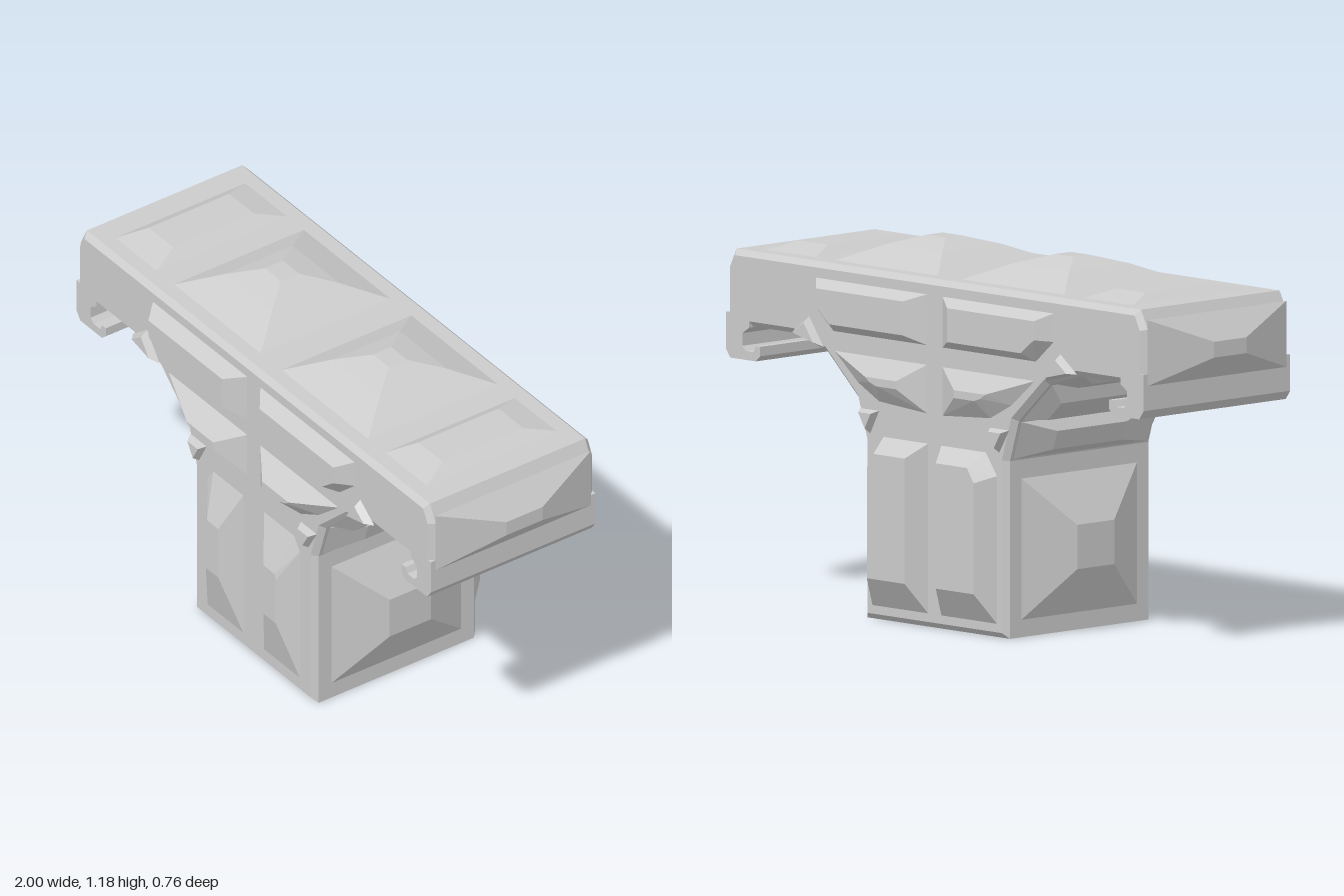
import * as THREE from 'three';

const material = new THREE.MeshStandardMaterial({ color: 0xcccccc, flatShading: true });
const DEPTH = 0.317; // half thickness of the body
const X = new THREE.Vector3(1, 0, 0), Y = new THREE.Vector3(0, 1, 0), BACK = new THREE.Vector3(0, 0, -1);

const rect = (x0, x1, y0, y1) => [[x0, y0], [x1, y0], [x1, y1], [x0, y1]];

// Raised panel: stacked counter-clockwise outlines [points, height], capped on top
function panel(layers, origin, u, v) {
  const n = new THREE.Vector3().crossVectors(u, v);
  const rings = layers.map(([pts, h]) => pts.map(([a, b]) =>
    new THREE.Vector3(...origin).addScaledVector(u, a).addScaledVector(v, b).addScaledVector(n, h)));
  const tris = [];
  for (let k = 0; k + 1 < rings.length; k++) {
    const lo = rings[k], hi = rings[k + 1];
    lo.forEach((p, i) => {
      const j = (i + 1) % lo.length;
      tris.push(p, lo[j], hi[j], p, hi[j], hi[i]);
    });
  }
  const cap = rings[rings.length - 1];
  for (let i = 1; i + 1 < cap.length; i++) tris.push(cap[0], cap[i], cap[i + 1]);
  const geo = new THREE.BufferGeometry().setFromPoints(tris);
  geo.computeVertexNormals();
  return geo;
}

// Reflected copy with the corner order turned around
function mirrored(geo, sx, sz) {
  const src = geo.attributes.position, pts = [];
  for (let i = 0; i < src.count; i += 3)
    for (const k of [0, 2, 1])
      pts.push(new THREE.Vector3(src.getX(i + k) * sx, src.getY(i + k), src.getZ(i + k) * sz));
  const out = new THREE.BufferGeometry().setFromPoints(pts);
  out.computeVertexNormals();
  return out;
}

function extrude(points, bevel) {
  const shape = new THREE.Shape(points.map(([x, y]) => new THREE.Vector2(x, y)));
  const geo = new THREE.ExtrudeGeometry(shape, {
    depth: 2 * (DEPTH - bevel), bevelEnabled: bevel > 0, bevelSegments: 1,
    bevelSize: bevel, bevelThickness: bevel, bevelOffset: -bevel,
  });
  return geo.translate(0, 0, -(DEPTH - bevel));
}

export function createModel() {
  const group = new THREE.Group();
  const add = (name, geo) => {
    const mesh = new THREE.Mesh(geo, material);
    mesh.name = name;
    group.add(mesh);
  };
  const addPair = (name, geo) => {
    add(name + 'Left', geo);
    add(name + 'Right', mirrored(geo, -1, 1));
  };

  // T-shaped body with chamfered edges
  const arch = [[0.32, 0.56], [0.36, 0.69], [0.5, 0.82], [0.64, 0.862]];
  const half = [[0.32, 0], ...arch, [0.94, 0.862], [0.94, 1.04], [0.91, 1.1]];
  add('body', extrude([...half, ...half.map(([x, y]) => [-x, y]).reverse()], 0.018));

  // Hooked lips under the arm ends
  addPair('hook', extrude([
    [0.94, 0.9], [0.835, 0.9], [0.835, 0.86], [0.865, 0.84], [0.865, 0.8], [0.85, 0.785], [0.815, 0.785],
    [0.805, 0.805], [0.785, 0.805], [0.785, 0.775], [0.805, 0.757], [0.92, 0.757], [0.94, 0.785],
  ], 0));

  // Arm end caps
  addPair('endCap', panel([
    [rect(-0.3, 0.3, 0.862, 1.07), 0], [rect(-0.07, 0.07, 0.935, 0.985), 0.06],
  ], [0.94, 0, 0], BACK, Y));

  // Column side panels
  addPair('columnSidePanel', panel([
    [rect(-0.25, 0.25, 0.055, 0.5), 0], [rect(-0.08, 0.08, 0.205, 0.345), 0.075],
  ], [0.32, 0, 0], BACK, Y));

  // Plates along the curved underside
  const plates = [[0.03, 0.15], [0.042, 0.24], [0.026, 0.22]];
  plates.forEach(([height, topZ], i) => {
    const [ax, ay] = arch[i], [bx, by] = arch[i + 1];
    const along = new THREE.Vector3(bx - ax, by - ay, 0);
    const len = along.length();
    addPair('archPlate' + (i + 1), panel([
      [rect(-0.285, 0.285, 0.005, len - 0.005), 0],
      [rect(-topZ, topZ, len * 0.27, len * 0.73), height],
    ], [ax, ay, 0], BACK, along.normalize()));
  });

  // Top panels: a stepped inner one and a plain outer one on each arm
  addPair('topInnerPanel', panel([
    [rect(0.055, 0.515, -0.25, 0.25), 0], [rect(0.16, 0.41, -0.13, 0.13), 0.05],
    [rect(0.245, 0.33, -0.035, 0.035), 0.078],
  ], [0, 1.1, 0], X, BACK));
  addPair('topOuterPanel', panel([
    [rect(0.605, 0.825, -0.25, 0.25), 0], [rect(0.65, 0.78, -0.155, 0.155), 0.025],
  ], [0, 1.1, 0], X, BACK));

  // Panels on the front and back faces
  const face = (layers) => panel(layers, [0, 0, DEPTH], X, Y);
  const upper = [[0.035, 0.89], [0.455, 0.89], [0.535, 0.96], [0.535, 1.05], [0.035, 1.05]];
  const lower = [[0.035, 0.675], [0.25, 0.69], [0.345, 0.74], [0.45, 0.828], [0.035, 0.828]];
  const studs = [
    [[0.29, 0.585], [0.335, 0.66], [0.25, 0.66]],
    [[0.5, 0.835], [0.64, 0.868], [0.565, 0.925]],
  ];
  const shrink = (pts, s) => {
    const c = [0, 1].map((k) => pts.reduce((sum, p) => sum + p[k], 0) / pts.length);
    return pts.map((p) => p.map((q, k) => c[k] + (q - c[k]) * s));
  };
  const columnFront = face([
    [[[0.055, 0.06], [0.245, 0.06], [0.245, 0.54], [0.215, 0.585], [0.055, 0.585]], 0],
    [[[0.12, 0.255], [0.185, 0.255], [0.185, 0.42], [0.18, 0.44], [0.12, 0.44]], 0.05],
  ]);
  const columnBack = face([
    [[[0.03, 0.045], [0.28, 0.045], [0.28, 0.51], [0.23, 0.58], [0.03, 0.58]], 0],
    [[[0.07, 0.14], [0.24, 0.14], [0.24, 0.49], [0.21, 0.535], [0.07, 0.535]], 0.063],
  ]);
  for (const [side, s] of [['front', 1], ['back', -1]]) {
    const place = (name, geo) => addPair(side + name, s > 0 ? geo : mirrored(geo, 1, -1));
    place('ColumnPanel', s > 0 ? columnFront : columnBack);
    place('UpperPanel', face([
      [upper, 0],
      [[[0.1, 0.918], [0.43, 0.918], [0.49, 0.965], [0.49, 1.025], [0.1, 1.025]], s > 0 ? 0.05 : 0.043],
    ]));
    place('LowerPanel', face([
      [lower, 0],
      [[[0.13, 0.745], [0.22, 0.745], [0.25, 0.755], [0.27, 0.77], [0.13, 0.77]], s > 0 ? 0.062 : 0.043],
    ]));
    studs.forEach((stud, i) =>
      place('Stud' + (i + 1), face([[stud, 0], [shrink(stud, 0.65), 0.024]])));
  }
  return group;
}
